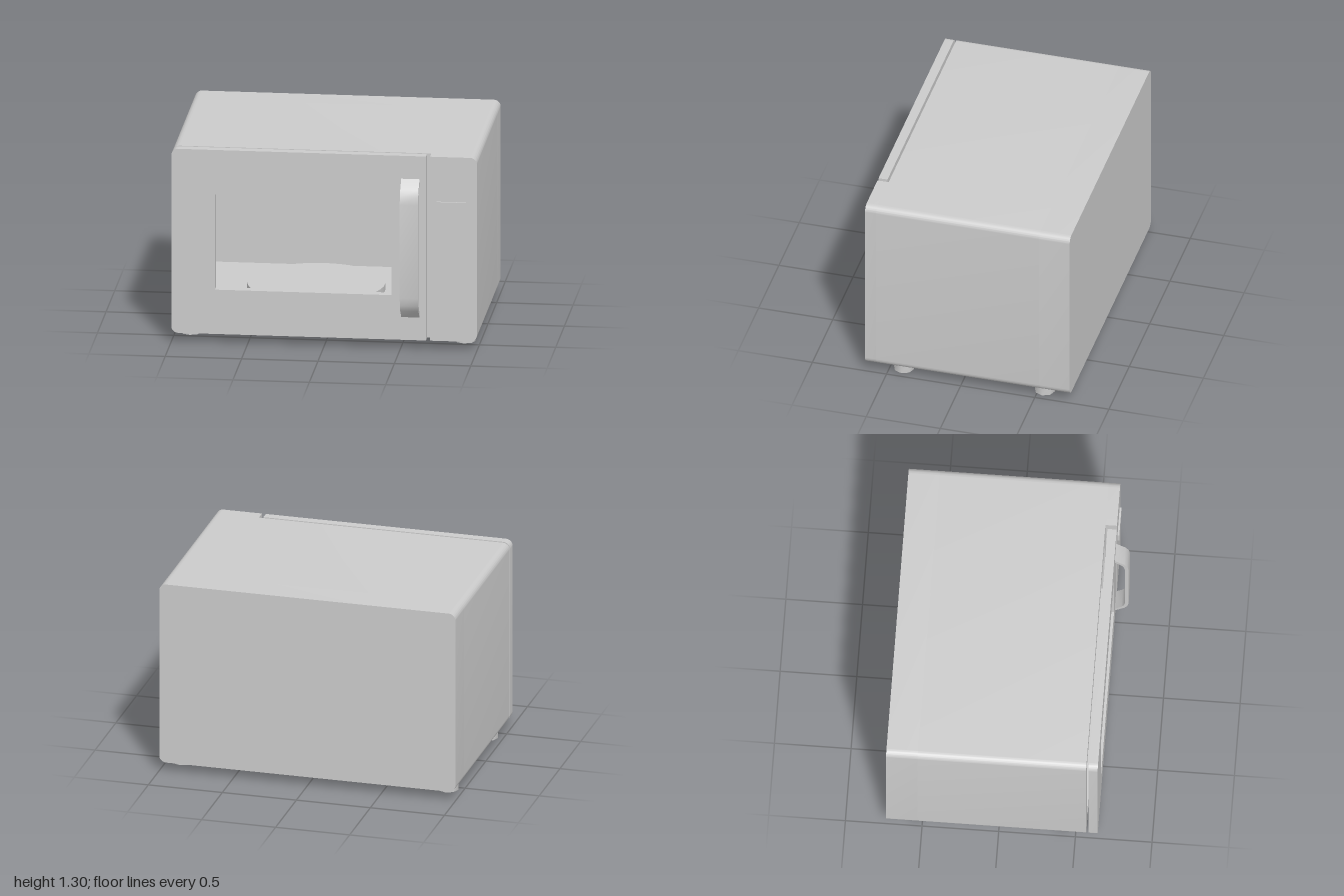
import * as THREE from 'three';
import { toCreasedNormals } from 'three/addons/utils/BufferGeometryUtils.js';

const BOTTOM = 0.06, TOP = 1.305, CORNER = 0.045;

// Rectangle with separate corner radii for its left and right sides
function rectShape(x0, x1, y0, y1, rl = 0, rr = 0) {
  const s = new THREE.Shape();
  s.moveTo(x0 + rl, y0);
  s.lineTo(x1 - rr, y0);
  if (rr) s.absarc(x1 - rr, y0 + rr, rr, -Math.PI / 2, 0);
  else s.lineTo(x1, y0);
  s.lineTo(x1, y1 - rr);
  if (rr) s.absarc(x1 - rr, y1 - rr, rr, 0, Math.PI / 2);
  s.lineTo(x0 + rl, y1);
  if (rl) s.absarc(x0 + rl, y1 - rl, rl, Math.PI / 2, Math.PI);
  else s.lineTo(x0, y1);
  s.lineTo(x0, y0 + rl);
  if (rl) s.absarc(x0 + rl, y0 + rl, rl, Math.PI, Math.PI * 1.5);
  return s;
}

function extrude(shape, z0, z1) {
  const g = new THREE.ExtrudeGeometry(shape, { depth: z1 - z0, bevelEnabled: false, curveSegments: 6 });
  return toCreasedNormals(g.translate(0, 0, z0), 0.6);
}

export function createModel() {
  const model = new THREE.Group();
  model.name = 'microwaveOven';
  const grey = new THREE.MeshStandardMaterial({ color: 0xcccccc });
  const add = (parent, name, geometry) => {
    const mesh = new THREE.Mesh(geometry, grey);
    mesh.name = name;
    parent.add(mesh);
    return mesh;
  };

  // Casing: a hollow shell around the cavity and a solid back
  const casing = new THREE.Group();
  casing.name = 'casing';
  model.add(casing);
  const shell = rectShape(-1, 1, BOTTOM, TOP, CORNER, CORNER);
  shell.holes.push(rectShape(-0.93, 0.65, 0.21, 1.155));
  add(casing, 'shell', extrude(shell, -0.53, 0.57));
  add(casing, 'back', extrude(rectShape(-1, 1, BOTTOM, TOP, CORNER, CORNER), -0.735, -0.53));

  // Control panel beside the door, with its raised display
  add(casing, 'controlPanel', extrude(rectShape(0.693, 1, BOTTOM, TOP, 0, CORNER), 0.57, 0.645));
  add(model, 'display', new THREE.BoxGeometry(0.195, 0.095, 0.02).translate(0.833, 0.955, 0.647));

  // Turntable plate on the cavity floor
  add(model, 'turntable', new THREE.CylinderGeometry(0.45, 0.45, 0.045, 48).translate(-0.12, 0.2325, 0.03));

  // Door with an open window
  const door = new THREE.Group();
  door.name = 'door';
  model.add(door);
  const panel = rectShape(-1, 0.667, BOTTOM, TOP, CORNER, 0);
  panel.holes.push(rectShape(-0.715, 0.44, 0.36, 1.003));
  add(door, 'doorPanel', extrude(panel, 0.585, 0.645));

  // Handle: a bent strip drawn in side profile (z, y), mirrored top to bottom
  const mid = 0.682;
  const outer = [[0.64, 0.473], [0.705, 0.41], [0.726, 0.37], [0.735, 0.315]];
  const inner = [[0.711, 0.315], [0.704, 0.36], [0.688, 0.392], [0.64, 0.44]];
  const point = (p, sign) => new THREE.Vector2(p[0], mid + sign * p[1]);
  const half = (list, sign) => list.map((p) => point(p, sign));
  const profile = new THREE.Shape([
    ...half(outer, 1), ...half(outer, -1).reverse(),
    ...half(inner, -1).reverse(), ...half(inner, 1),
  ]);
  const handle = new THREE.ExtrudeGeometry(profile, { depth: 0.12, bevelEnabled: false });
  handle.rotateY(-Math.PI / 2).translate(0.625, 0, 0);
  add(door, 'handle', toCreasedNormals(handle, 0.6));

  // Four octagonal feet
  for (const x of [-0.897, 0.897]) {
    for (const z of [-0.54, 0.41]) {
      const foot = toCreasedNormals(new THREE.CylinderGeometry(0.068, 0.068, 0.07, 8), 0.9);
      add(model, 'foot', foot).position.set(x, 0.035, z);
    }
  }

  // Centre the whole depth on z = 0
  const box = new THREE.Box3().setFromObject(model);
  model.position.z = -(box.min.z + box.max.z) / 2;
  return model;
}
